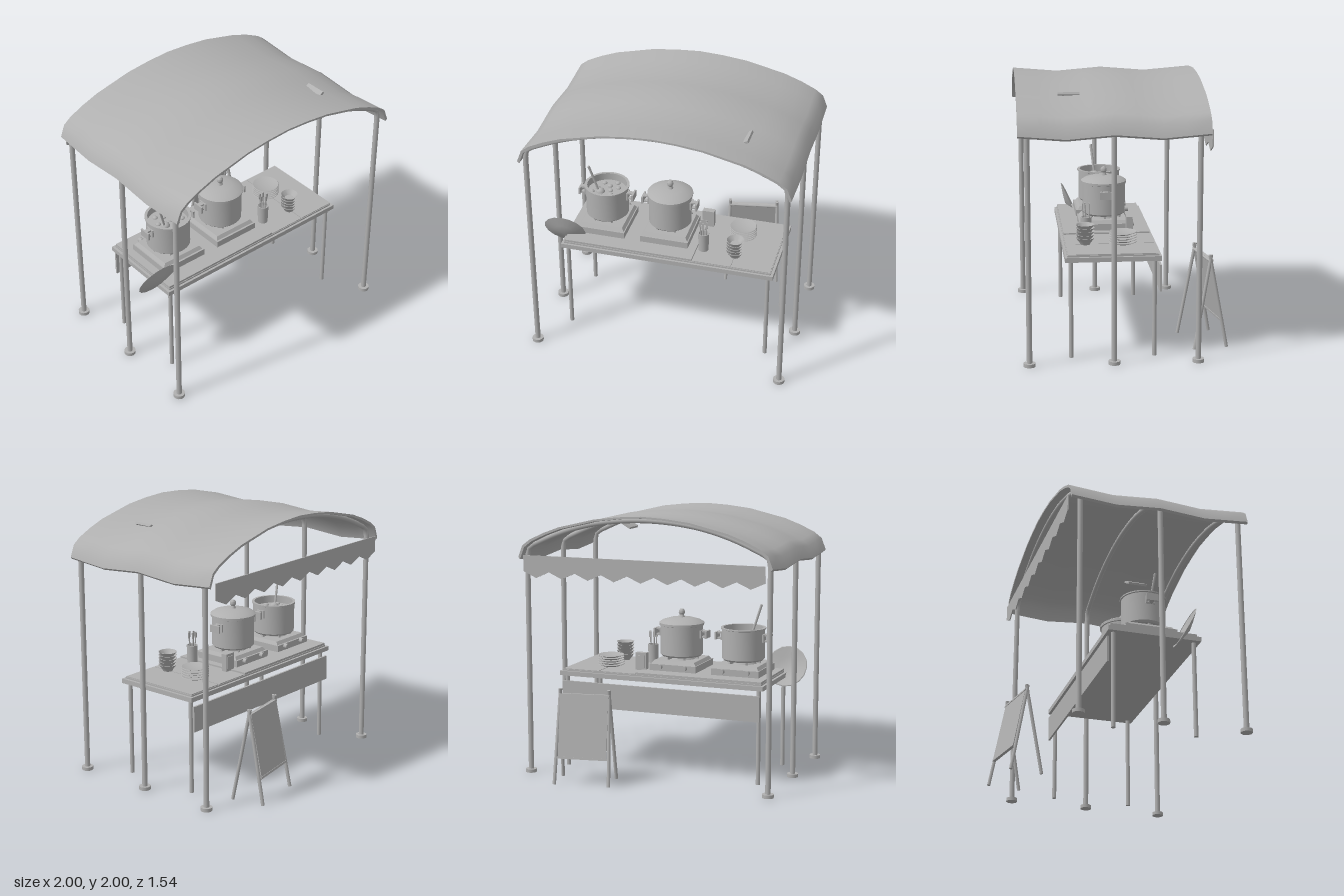
import * as THREE from 'three';
import { toCreasedNormals } from 'three/addons/utils/BufferGeometryUtils.js';

const grey = new THREE.MeshStandardMaterial({ color: 0xb0b0b0, side: THREE.DoubleSide });
grey.name = 'plain grey';

export function createModel() {
  const root = new THREE.Group();
  root.name = 'foodStall';

  const add = (name, geo, x = 0, y = 0, z = 0, parent = root) => {
    const m = new THREE.Mesh(geo, grey);
    m.name = name;
    m.position.set(x, y, z);
    parent.add(m);
    return m;
  };
  const group = (name, x, y, z, parent = root) => {
    const g = new THREE.Group();
    g.name = name;
    g.position.set(x, y, z);
    parent.add(g);
    return g;
  };
  const box = (name, w, h, d, x, y, z, p) => add(name, new THREE.BoxGeometry(w, h, d), x, y, z, p);
  const cyl = (name, r1, r2, h, x, y, z, p, n = 16) =>
    add(name, new THREE.CylinderGeometry(r1, r2, h, n), x, y, z, p);
  const lathe = (name, pts, x, y, z, p, n = 32) => add(name,
    toCreasedNormals(new THREE.LatheGeometry(pts.map(q => new THREE.Vector2(...q)), n), 0.6), x, y, z, p);
  // straight round bar between two points
  const bar = (name, a, b, r, p = root, r2 = r) => {
    const A = new THREE.Vector3(...a), B = new THREE.Vector3(...b), d = B.clone().sub(A);
    const m = cyl(name, r2, r, d.length(), ...A.clone().add(B).multiplyScalar(0.5).toArray(), p, 10);
    m.quaternion.setFromUnitVectors(new THREE.Vector3(0, 1, 0), d.normalize());
    return m;
  };
  // full symmetric arch from its right half, listed from the edge to the crown
  const mirrorArch = half => [...half, ...half.slice(0, -1).reverse().map(([x, y]) => [-x, y])];

  // Canopy: thin arched sheet that sags between the three ribs
  const outer = mirrorArch([[0.995, 1.665], [0.96, 1.755], [0.9, 1.8], [0.79, 1.852], [0.66, 1.9], [0.37, 1.968], [0.18, 1.99], [0, 2]]);
  const inner = outer.map(([x, y]) => [x * 0.985, y - 0.014]).reverse();
  const canopyGeo = new THREE.ExtrudeGeometry(
    new THREE.Shape([...outer, ...inner].map(p => new THREE.Vector2(...p))),
    { depth: 1.35, steps: 8, bevelEnabled: false });
  const pos = canopyGeo.attributes.position;
  for (let i = 0; i < pos.count; i++) {
    const t = (pos.getZ(i) / 0.675) % 1;
    pos.setY(i, pos.getY(i) - 0.028 * (1 - Math.abs(2 * t - 1)));
  }
  add('canopy', toCreasedNormals(canopyGeo, 0.6), 0, 0, -0.59);

  // Ribs, poles and feet
  const rib = new THREE.CatmullRomCurve3(mirrorArch([[0.955, 1.62], [0.942, 1.73], [0.87, 1.772], [0.64, 1.867],
    [0.36, 1.937], [0, 1.966]]).map(([x, y]) => new THREE.Vector3(x, y, 0)));
  for (const z of [0.695, 0.09, -0.515]) {
    add('canopyRib', new THREE.TubeGeometry(rib, 40, 0.02, 8), 0, 0, z);
    for (const s of [-1, 1]) {
      cyl('pole', 0.02, 0.02, 1.65, s * 0.955, 0.825, z);
      cyl('poleFoot', 0.043, 0.043, 0.026, s * 0.955, 0.013, z);
    }
  }

  // Zigzag valance hanging along the back edge
  const valance = new THREE.Shape();
  valance.moveTo(-0.945, 1.685);
  for (let i = 0; i <= 18; i++) valance.lineTo(-0.945 + i * 0.105, i % 2 ? 1.518 : 1.565);
  valance.lineTo(0.945, 1.685);
  add('valance', new THREE.ExtrudeGeometry(valance, { depth: 0.008, bevelEnabled: false }), 0, 0, -0.606);

  // Small panel slotted into the canopy
  box('ceilingPanel', 0.165, 0.018, 0.155, 0.545, 1.862, 0.385).rotation.z = 0.54;

  // Table
  box('tableRim', 1.65, 0.035, 0.695, 0, 0.737, 0.083);
  box('tableTop', 1.61, 0.012, 0.66, 0, 0.76, 0.083);
  box('leftBoard', 0.295, 0.006, 0.65, 0.652, 0.769, 0.083);
  box('middleBoard', 0.295, 0.006, 0.65, 0.35, 0.769, 0.083);
  box('stoveBoard', 1.0, 0.016, 0.65, -0.302, 0.774, 0.083);
  for (const x of [-0.78, 0.78]) for (const z of [0.388, -0.217])
    cyl('tableLeg', 0.016, 0.016, 0.72, x, 0.36, z);
  box('backApron', 1.6, 0.195, 0.015, 0, 0.583, -0.26);

  // Shallow round cover hung at the table's end
  const cover = group('hangingCover', -0.83, 0.8, 0.32);
  cover.rotation.x = Math.PI / 2 + 0.45;
  lathe('coverDish', [[0.157, 0], [0.163, 0.004], [0.08, 0.028], [0, 0.045]], 0, -0.02, 0, cover, 16);

  // Stoves with a cooking pot on each
  const makePot = x => {
    const g = group('stoveAndPot', x, 0, 0.085);
    box('stoveBase', 0.375, 0.05, 0.39, 0, 0.807, 0, g);
    const taper = new THREE.CylinderGeometry(0.23, 0.255, 0.025, 4, 1).rotateY(Math.PI / 4);
    add('stoveTop', toCreasedNormals(taper, 0.3), 0, 0.844, 0, g);
    for (const kx of [-0.1, 0.1]) cyl('stoveKnob', 0.02, 0.02, 0.03, kx, 0.815, -0.21, g).rotation.x = Math.PI / 2;
    cyl('burner', 0.1, 0.11, 0.018, 0, 0.865, 0, g, 24);
    for (let i = 0; i < 6; i++) {
      const a = i * Math.PI / 3;
      const grate = box('burnerGrate', 0.06, 0.02, 0.016, Math.cos(a) * 0.11, 0.87, -Math.sin(a) * 0.11, g);
      grate.rotation.y = a;
    }
    lathe('pot', [[0, 0.88], [0.15, 0.88], [0.163, 0.893], [0.163, 1.115], [0.172, 1.118], [0.172, 1.128],
      [0.152, 1.128], [0.152, 0.9], [0, 0.9]], 0, 0, 0, g, 40);
    for (const s of [-1, 1]) {
      for (const y of [1.032, 1.076]) box('potHandleArm', 0.06, 0.012, 0.035, s * 0.187, y, 0, g);
      box('potHandleGrip', 0.014, 0.056, 0.09, s * 0.211, 1.054, 0, g);
      box('potHandleMount', 0.012, 0.06, 0.07, s * 0.166, 1.054, 0, g);
    }
    return g;
  };
  const open = makePot(-0.553);
  cyl('soup', 0.153, 0.153, 0.01, 0, 1.065, 0, open, 32);
  for (let i = 0; i < 11; i++) {
    const a = i * 2.4, r = 0.038 * Math.sqrt(i + 0.5);
    const d = add('dumpling', new THREE.SphereGeometry(0.02, 10, 8), Math.cos(a) * r, 1.072, Math.sin(a) * r, open);
    d.scale.y = 0.7;
  }
  bar('ladleHandle', [-0.05, 1.05, 0.03], [-0.125, 1.3, 0.055], 0.008, open, 0.01);
  add('ladleBowl', new THREE.SphereGeometry(0.035, 14, 10), -0.045, 1.065, 0.028, open);

  const closed = makePot(-0.052);
  lathe('potLid', [[0.174, 1.127], [0.174, 1.137], [0.15, 1.153], [0.09, 1.171], [0, 1.178]], 0, 0, 0, closed, 40);
  lathe('lidKnob', [[0.025, 1.17], [0.016, 1.195], [0.024, 1.21], [0.022, 1.228], [0.012, 1.24], [0, 1.242]], 0, 0, 0, closed, 16);

  // Utensil holder
  const holder = group('utensilHolder', 0.25, 0.77, 0.24);
  lathe('holderCup', [[0, 0], [0.038, 0], [0.042, 0.15], [0.036, 0.15], [0.034, 0.01], [0, 0.01]], 0, 0, 0, holder, 20);
  for (let i = 0; i < 5; i++) {
    const a = i * 1.257 + 0.3, c = Math.cos(a), s = Math.sin(a);
    bar('utensilStem', [c * 0.015, 0.02, s * 0.015], [c * 0.027, 0.215, s * 0.027], 0.004, holder);
    box('utensilEnd', 0.016, 0.045, 0.008, c * 0.028, 0.23, s * 0.028, holder);
  }

  // Napkin box with a thin framed face
  box('napkinBox', 0.09, 0.135, 0.045, 0.21, 0.843, -0.085);
  box('napkinBoxFace', 0.06, 0.095, 0.006, 0.21, 0.843, -0.109);

  // Stacks of bowls and plates
  for (let i = 0; i < 5; i++) {
    lathe('bowl', [[0, 0], [0.036, 0], [0.042, 0.014], [0.07, 0.05], [0.064, 0.05], [0.036, 0.016], [0, 0.014]],
      0.5, 0.772 + i * 0.025, 0.265, root, 24);
    lathe('plate', [[0, 0], [0.062, 0], [0.103, 0.016], [0.1, 0.02], [0.06, 0.008], [0, 0.008]],
      0.5, 0.772 + i * 0.018, -0.012, root, 28);
  }

  // Folding sign board standing behind the stall
  const sign = group('foldingSign', 0.45, 0, -0.612);
  sign.rotation.y = 0.18;
  for (const side of [-1, 1]) {
    for (const x of [-0.2, 0.2])
      bar('signLeg', [x * 1.04, 0, side * 0.125], [x * 0.93, 0.705, -side * 0.006], 0.013, sign);
    bar('signCrossbar', [-0.19, 0.66, side * 0.008], [0.19, 0.66, side * 0.008], 0.009, sign);
  }
  const board = box('signBoard', 0.37, 0.47, 0.014, 0, 0.43, -0.052, sign);
  board.rotation.x = 0.184;
  box('signBoardTrim', 0.385, 0.016, 0.022, 0, -0.235, 0, board);
  box('signBoardTrim', 0.385, 0.016, 0.022, 0, 0.235, 0, board);

  return root;
}
